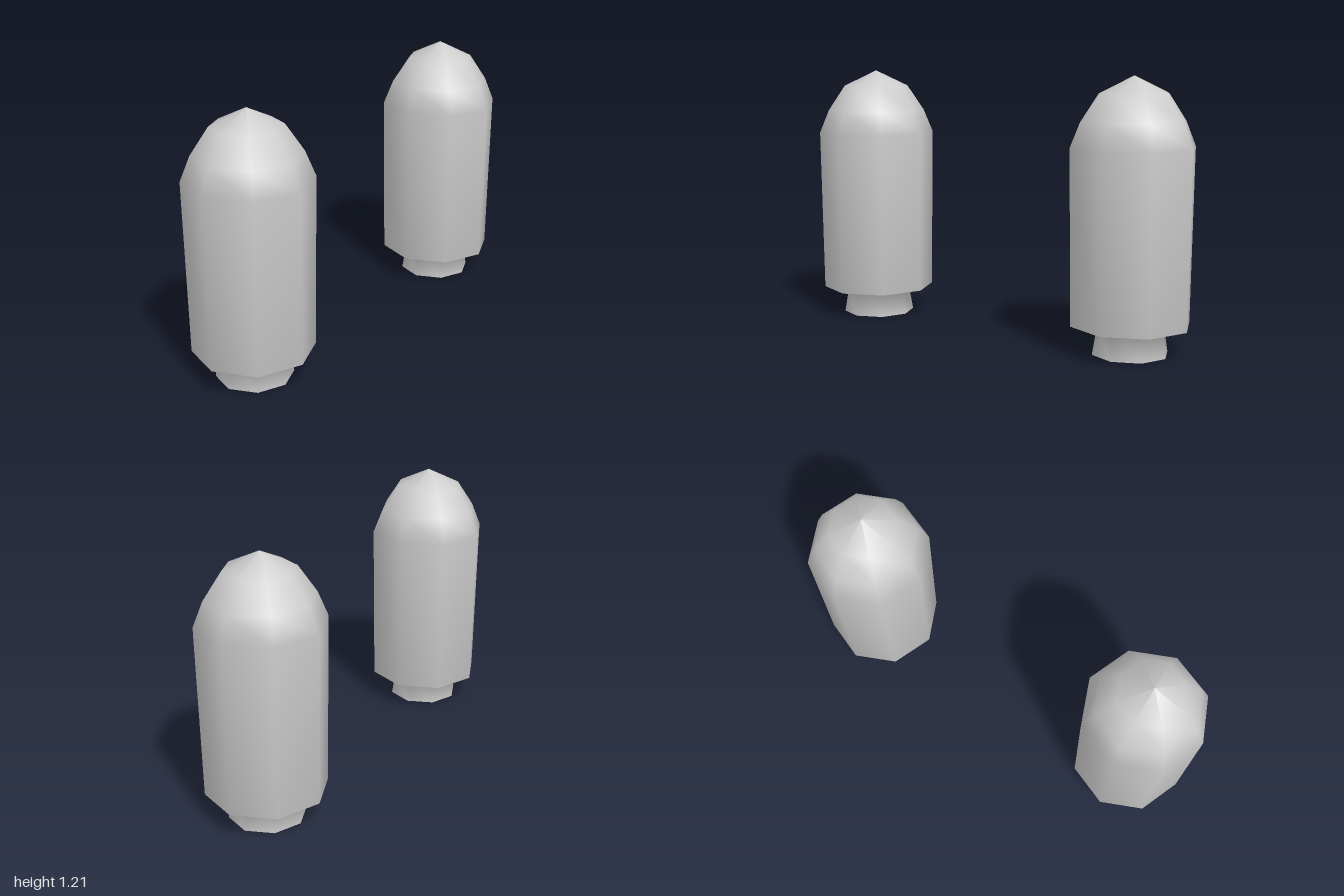
import * as THREE from 'three';

// Half profile [radius, y], from inside the nozzle, round its rim, up to the tip
const PROFILE = [
  [0, 0.12], [0.13, 0.12], [0.152, 0],   // nozzle interior
  [0.172, 0], [0.15, 0.13],              // rim and nozzle exterior
  [0.27, 0.13], [0.28, 0.905],           // underside and body wall
  [0.235, 1.015], [0.155, 1.135], [0, 1.21], // domed nose
];

export function createModel() {
  const model = new THREE.Group();
  model.name = 'boosterPair';
  const material = new THREE.MeshStandardMaterial({ color: 0xcccccc });

  // Eight-sided, smooth-shaded booster
  const points = PROFILE.map(([r, y]) => new THREE.Vector2(r, y));
  const geometry = new THREE.LatheGeometry(points, 8);

  for (const [name, side] of [['leftBooster', 1], ['rightBooster', -1]]) {
    const booster = new THREE.Mesh(geometry, material);
    booster.name = name;
    booster.position.x = side * 0.72;
    model.add(booster);
  }
  return model;
}
